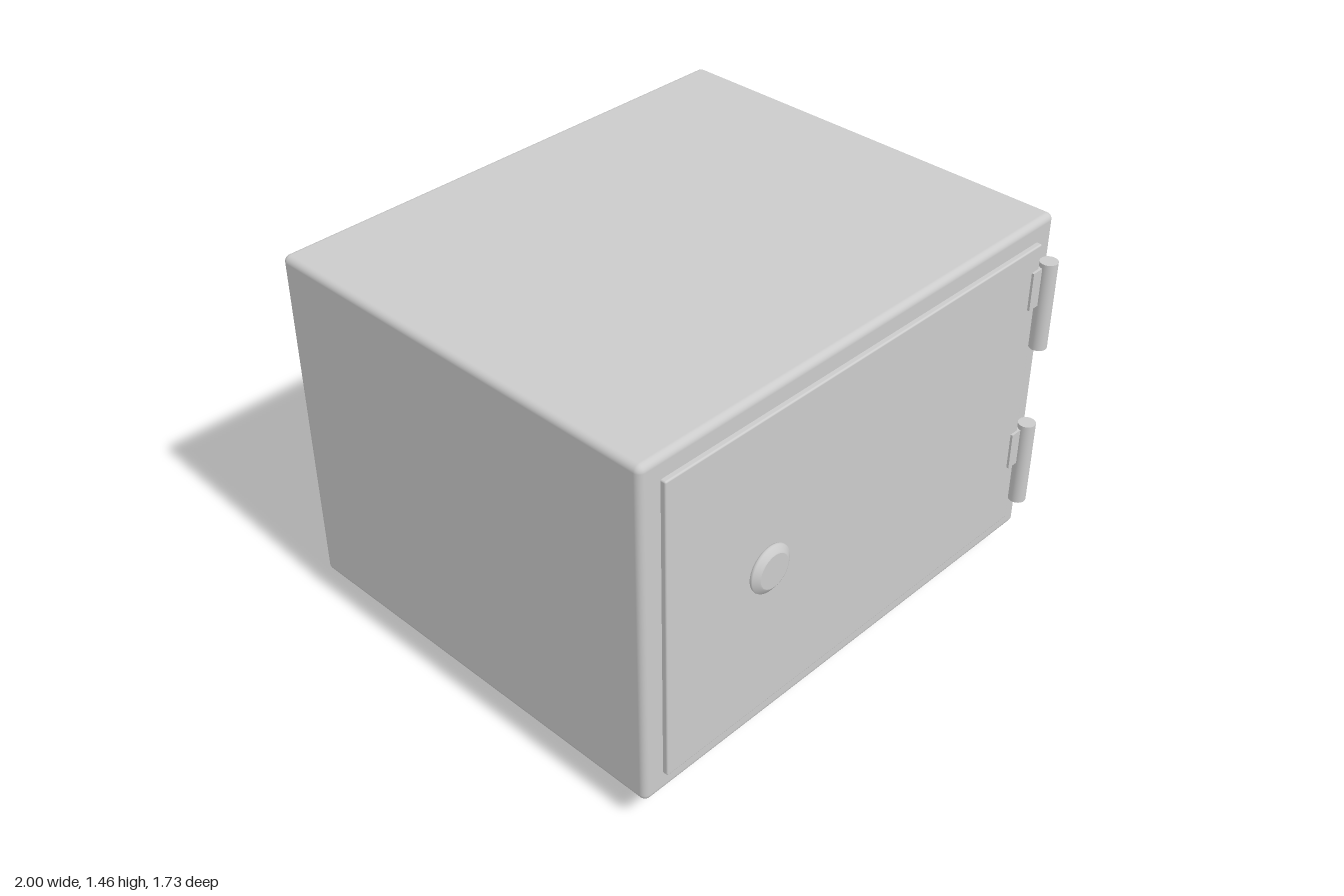
import * as THREE from 'three';
import { RoundedBoxGeometry } from 'three/addons/geometries/RoundedBoxGeometry.js';

const material = new THREE.MeshStandardMaterial({ color: 0xcccccc });

export function createModel() {
  const model = new THREE.Group();
  model.name = 'safe';

  const add = (name, geometry, x, y, z) => {
    const mesh = new THREE.Mesh(geometry, material);
    mesh.name = name;
    mesh.position.set(x, y, z);
    model.add(mesh);
    return mesh;
  };

  // Box spanning from a low corner to a high corner, with rounded edges
  const addBox = (name, [x0, y0, z0], [x1, y1, z1], radius) =>
    add(name, new RoundedBoxGeometry(x1 - x0, y1 - y0, z1 - z0, 4, radius),
      (x0 + x1) / 2, (y0 + y1) / 2, (z0 + z1) / 2);

  // Cabinet and slightly raised door
  addBox('cabinet', [-1, 0.11, -0.865], [1, 1.46, 0.8], 0.025);
  addBox('door', [-0.917, 0.19, 0.76], [0.913, 1.38, 0.82], 0.006);

  // Round knob with a bevelled rim and flat face
  const knobProfile = [
    [0, 0], [0.082, 0], [0.089, 0.004], [0.091, 0.01], [0.089, 0.015],
    [0.07, 0.028], [0.065, 0.03], [0.065, 0.03], [0, 0.03],
  ].map(([r, h]) => new THREE.Vector2(r, h));
  const knob = add('knob', new THREE.LatheGeometry(knobProfile, 48), -0.46, 0.785, 0.818);
  knob.rotation.x = Math.PI / 2;

  // Hinges: a barrel at the cabinet edge and a small leaf on the door
  [[0.783 + 0.343, 1.208], [0.441, 0.521]].forEach(([barrelY, leafY], i) => {
    const side = i === 0 ? 'upper' : 'lower';
    add(side + 'HingeBarrel', new THREE.CylinderGeometry(0.033, 0.033, 0.35, 32), 0.951, barrelY, 0.832);
    add(side + 'HingeLeaf', new THREE.BoxGeometry(0.06, 0.15, 0.03), 0.9, leafY, 0.814);
  });

  // Four tapered feet
  for (const x of [-0.79, 0.79]) {
    for (const z of [0.595, -0.655]) {
      add('foot', new THREE.CylinderGeometry(0.083, 0.06, 0.12, 32), x, 0.06, z);
    }
  }

  return model;
}
